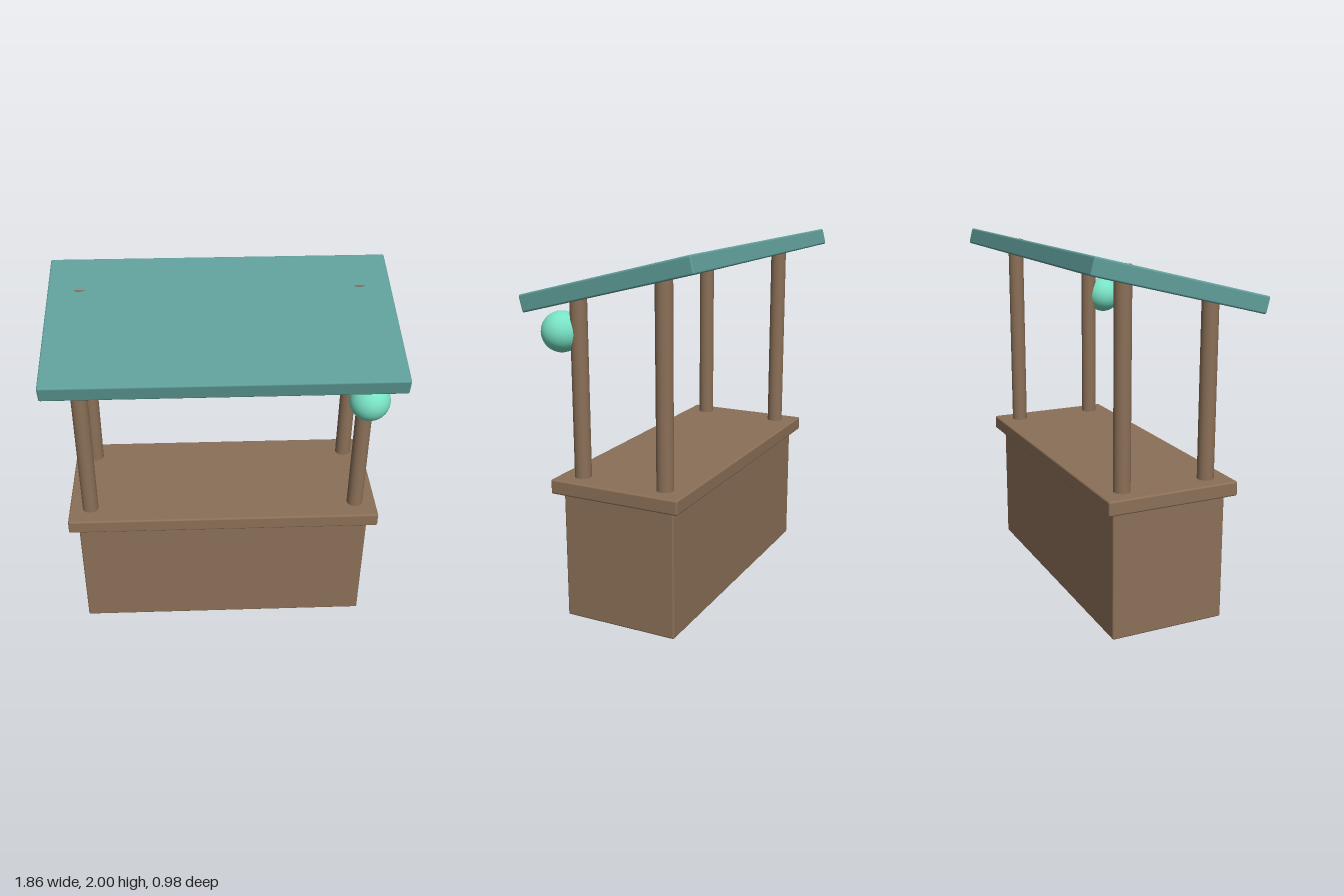
import * as THREE from 'three';
import { RoundedBoxGeometry } from 'three/addons/geometries/RoundedBoxGeometry.js';

export function createModel() {
  const stall = new THREE.Group();
  stall.name = 'marketStall';

  const material = (name, color) => {
    const m = new THREE.MeshStandardMaterial({ color });
    m.name = name;
    return m;
  };
  const wood = material('wood', 0x8b7058);
  const teal = material('roofTeal', 0x5f9e99);
  const mint = material('lanternMint', 0x78e2c4);

  const add = (name, geometry, mat, x, y, z) => {
    const mesh = new THREE.Mesh(geometry, mat);
    mesh.name = name;
    mesh.position.set(x, y, z);
    stall.add(mesh);
    return mesh;
  };
  const slab = (w, h, d) => new RoundedBoxGeometry(w, h, d, 2, 0.01);

  // Base cabinet and overhanging counter top
  add('base', slab(1.656, 0.73, 0.65), wood, 0, 0.365, 0);
  add('counterTop', slab(1.76, 0.08, 0.745), wood, 0, 0.75, 0);

  // Four round posts, the rear pair taller and just piercing the roof
  for (const [end, z, top] of [['front', 0.245, 1.78], ['back', -0.245, 1.937]]) {
    for (const [side, x] of [['Left', 0.76], ['Right', -0.76]]) {
      const height = top - 0.76;
      add(end + side + 'Post', new THREE.CylinderGeometry(0.045, 0.045, height, 24), wood,
        x, 0.76 + height / 2, z);
    }
  }

  // Roof slab sloping down towards the front
  const roof = add('roof', slab(1.864, 0.092, 0.99), teal, 0, 1.836, 0);
  roof.rotation.x = 0.245;

  // Round lantern by the front left post
  add('lantern', new THREE.SphereGeometry(0.108, 32, 24), mint, 0.76, 1.56, 0.35);

  return stall;
}
